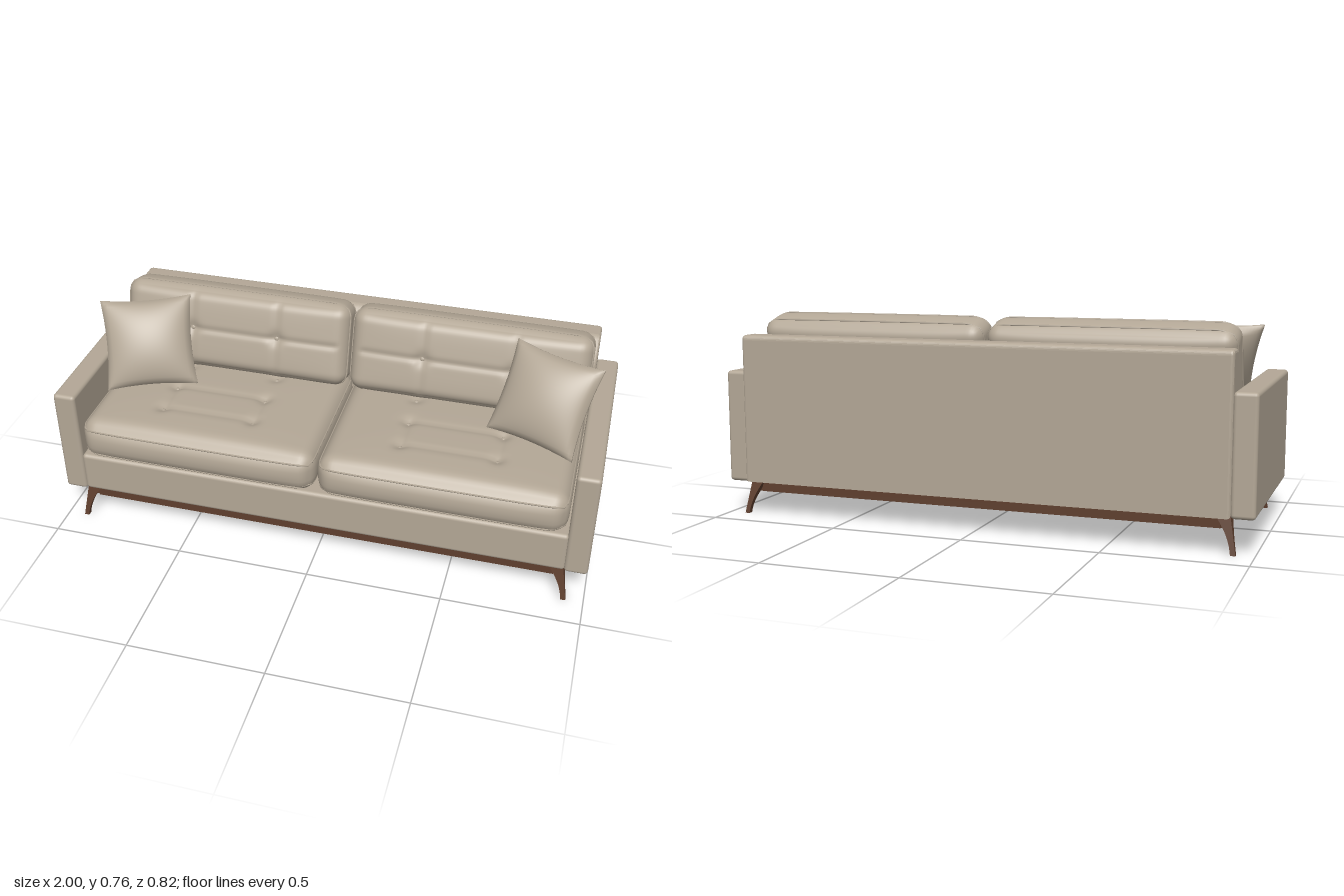
import * as THREE from 'three';
import { mergeVertices } from 'three/addons/utils/BufferGeometryUtils.js';
import { RoundedBoxGeometry } from 'three/addons/geometries/RoundedBoxGeometry.js';

const fabric = new THREE.MeshStandardMaterial({ color: 0xb3a796 });
const wood = new THREE.MeshStandardMaterial({ color: 0x5f3f2e });

function add(parent, name, geometry, material, x = 0, y = 0, z = 0) {
  const mesh = new THREE.Mesh(geometry, material);
  mesh.name = name;
  mesh.position.set(x, y, z);
  parent.add(mesh);
  return mesh;
}

// Moves every vertex by a rule, welds the seams and smooths the result
function reshape(geometry, rule) {
  const pos = geometry.attributes.position;
  const p = new THREE.Vector3();
  for (let i = 0; i < pos.count; i++) {
    rule(p.fromBufferAttribute(pos, i));
    pos.setXYZ(i, p.x, p.y, p.z);
  }
  geometry.deleteAttribute('uv');
  geometry.deleteAttribute('normal');
  const welded = mergeVertices(geometry, 1e-5);
  welded.computeVertexNormals();
  return welded;
}

function segmentDistance(x, z, [ax, az, bx, bz]) {
  const dx = bx - ax, dz = bz - az;
  const t = THREE.MathUtils.clamp(((x - ax) * dx + (z - az) * dz) / (dx * dx + dz * dz), 0, 1);
  return Math.hypot(x - ax - t * dx, z - az - t * dz);
}

// Tufted cushion lying flat: w along x, h thick along y, d along z
function tuftedCushion(name, { w, h, d, r, puff, endPuff, buttons, creases, welt }) {
  const group = new THREE.Group();
  group.name = name;
  const half = new THREE.Vector3(w / 2, h / 2, d / 2);
  const inner = half.clone().subScalar(r);
  const low = inner.clone().negate();
  const core = new THREE.Vector3();

  const rule = (p) => {
    const u = p.x / half.x, v = p.y / half.y, s = p.z / half.z;
    core.copy(p).clamp(low, inner);
    p.sub(core).setLength(r).add(core);
    p.y += v * puff * (1 - u ** 4) * (1 - s ** 4);
    p.z += s * endPuff * (1 - u ** 6) * (1 - v * v);
    if (v > 0.9) {
      for (const [bx, bz] of buttons) {
        const q = Math.hypot(p.x - bx, p.z - bz);
        p.y -= 0.013 * Math.exp(-((q / 0.026) ** 2));
      }
      let near = 1;
      for (const c of creases) near = Math.min(near, segmentDistance(p.x, p.z, c));
      p.y -= 0.006 * Math.exp(-((near / 0.012) ** 2));
    }
    return p;
  };

  add(group, 'cushionBody', reshape(new THREE.BoxGeometry(w, h, d, 72, 8, 44), rule), fabric);

  for (const [x, z] of buttons) {
    const top = rule(new THREE.Vector3(x, half.y, z));
    add(group, 'button', new THREE.SphereGeometry(0.009, 12, 8), fabric, x, top.y + 0.001, z).scale.y = 0.5;
  }

  // Welt cords around the cushion rim
  for (const side of [-1, 1]) {
    const pts = [];
    const corners = [[-1, -1], [1, -1], [1, 1], [-1, 1]];
    corners.forEach(([ax, az], i) => {
      const [bx, bz] = corners[(i + 1) % 4];
      for (let k = 0; k < 16; k++) {
        const t = k / 16;
        pts.push(rule(new THREE.Vector3(
          half.x * (ax + (bx - ax) * t), side * welt, half.z * (az + (bz - az) * t))));
      }
    });
    const path = new THREE.CatmullRomCurve3(pts, true);
    add(group, 'weltCord', new THREE.TubeGeometry(path, 120, 0.0035, 5, true), fabric);
  }
  return group;
}

// Square throw pillow with pinched sides and pointed corners
function pillowGeometry(size, thickness) {
  return reshape(new THREE.BoxGeometry(2, 2, 2, 28, 28, 1), (p) => {
    const { x: u, y: v } = p;
    const fill = Math.max(0, (1 - u * u) * (1 - v * v)) ** 0.55;
    p.set(
      (size / 2) * u * (1 - 0.07 * (1 - v * v)),
      (size / 2) * v * (1 - 0.07 * (1 - u * u)),
      p.z * (0.004 + (thickness / 2) * fill));
  });
}

export function createModel() {
  const sofa = new THREE.Group();
  sofa.name = 'sofa';

  // Upholstered base
  add(sofa, 'seatBase', new RoundedBoxGeometry(1.84, 0.16, 0.75, 3, 0.015), fabric, 0, 0.204, 0.003);

  // Back rest with a sloping front, drawn in profile and extruded across
  const profile = new THREE.Shape();
  profile.moveTo(0.41, 0.127);
  profile.lineTo(0.41, 0.665);
  profile.quadraticCurveTo(0.41, 0.685, 0.39, 0.685);
  profile.lineTo(0.335, 0.685);
  profile.quadraticCurveTo(0.318, 0.682, 0.305, 0.665);
  profile.quadraticCurveTo(0.26, 0.615, 0.26, 0.57);
  profile.lineTo(0.24, 0.127);
  const bevel = 0.012, depth = 1.84 - 2 * bevel;
  const back = new THREE.ExtrudeGeometry(profile, {
    depth, curveSegments: 8, bevelEnabled: true, bevelSize: bevel,
    bevelThickness: bevel, bevelOffset: -bevel, bevelSegments: 3 });
  back.translate(0, 0, -depth / 2).rotateY(Math.PI / 2);
  add(sofa, 'backRest', back, fabric);

  const pillow = pillowGeometry(0.345, 0.13);
  for (const s of [-1, 1]) {
    const side = s > 0 ? 'left' : 'right';

    // Arm, slightly narrower in depth toward the floor
    const arm = new RoundedBoxGeometry(0.085, 0.424, 0.775, 3, 0.014);
    add(sofa, side + 'Arm', arm, fabric, s * 0.9575, 0.335, -0.006);

    // Seat cushion: six buttons, the front four joined by creases
    const bx = 0.178, bz = 0.147;
    const seat = tuftedCushion(side + 'SeatCushion', {
      w: 0.905, h: 0.163, d: 0.63, r: 0.06, puff: 0.013, endPuff: 0.016, welt: 0.055,
      buttons: [-bz, 0, bz].flatMap((z) => [[-bx, z], [bx, z]]),
      creases: [[-bx, 0, bx, 0], [-bx, bz, bx, bz], [-bx, 0, -bx, bz], [bx, 0, bx, bz]],
    });
    seat.position.set(s * 0.456, 0.362, 0.077);
    sofa.add(seat);

    // Leaning back cushion: two buttons on a cross seam
    const backCushion = tuftedCushion(side + 'BackCushion', {
      w: 0.9, h: 0.155, d: 0.32, r: 0.05, puff: 0.012, endPuff: 0.006, welt: 0.04,
      buttons: [[-0.17, 0], [0.17, 0]],
      creases: [[-0.4, 0, 0.4, 0], [-0.17, -0.13, -0.17, 0.13], [0.17, -0.13, 0.17, 0.13]],
    });
    backCushion.position.set(s * 0.456, 0.592, -0.178);
    backCushion.rotation.x = THREE.MathUtils.degToRad(74);
    sofa.add(backCushion);

    // Throw pillow leaning into the corner
    const across = new THREE.Vector3(0.32, s * -0.01, s * 0.12).normalize();
    const up = new THREE.Vector3(s * 0.075, 0.295, -0.16).normalize();
    const facing = across.clone().cross(up).normalize();
    up.crossVectors(facing, across);
    const throwPillow = add(sofa, side + 'ThrowPillow', pillow, fabric, s * 0.76, 0.597, 0.02);
    throwPillow.quaternion.setFromRotationMatrix(new THREE.Matrix4().makeBasis(across, up, facing));

    // Wooden frame rails
    add(sofa, side + 'Rail', new THREE.BoxGeometry(0.035, 0.044, 0.7), wood, s * 0.875, 0.104, 0);
    add(sofa, s > 0 ? 'frontRail' : 'backRail',
      new THREE.BoxGeometry(1.76, 0.044, 0.035), wood, 0, 0.104, s * 0.338);

    // Splayed legs: curved inside, tapering to the foot
    for (const f of [-1, 1]) {
      const leg = new THREE.BoxGeometry(2, 1, 2, 1, 8, 1);
      const pos = leg.attributes.position;
      for (let i = 0; i < pos.count; i++) {
        const t = pos.getY(i) + 0.5;
        const outer = 0.392 - 0.022 * t;
        const inner = 0.374 - 0.012 * t - 0.042 * t * t;
        const place = (k, sign, shift) => sign * ((k * sign > 0 ? outer : inner) + shift);
        pos.setXYZ(i, place(pos.getX(i), s, 0.545), t * 0.125, place(pos.getZ(i), f, 0));
      }
      const flat = leg.toNonIndexed();
      flat.computeVertexNormals();
      add(sofa, (f > 0 ? 'front' : 'back') + (s > 0 ? 'Left' : 'Right') + 'Leg', flat, wood);
    }
  }
  return sofa;
}
